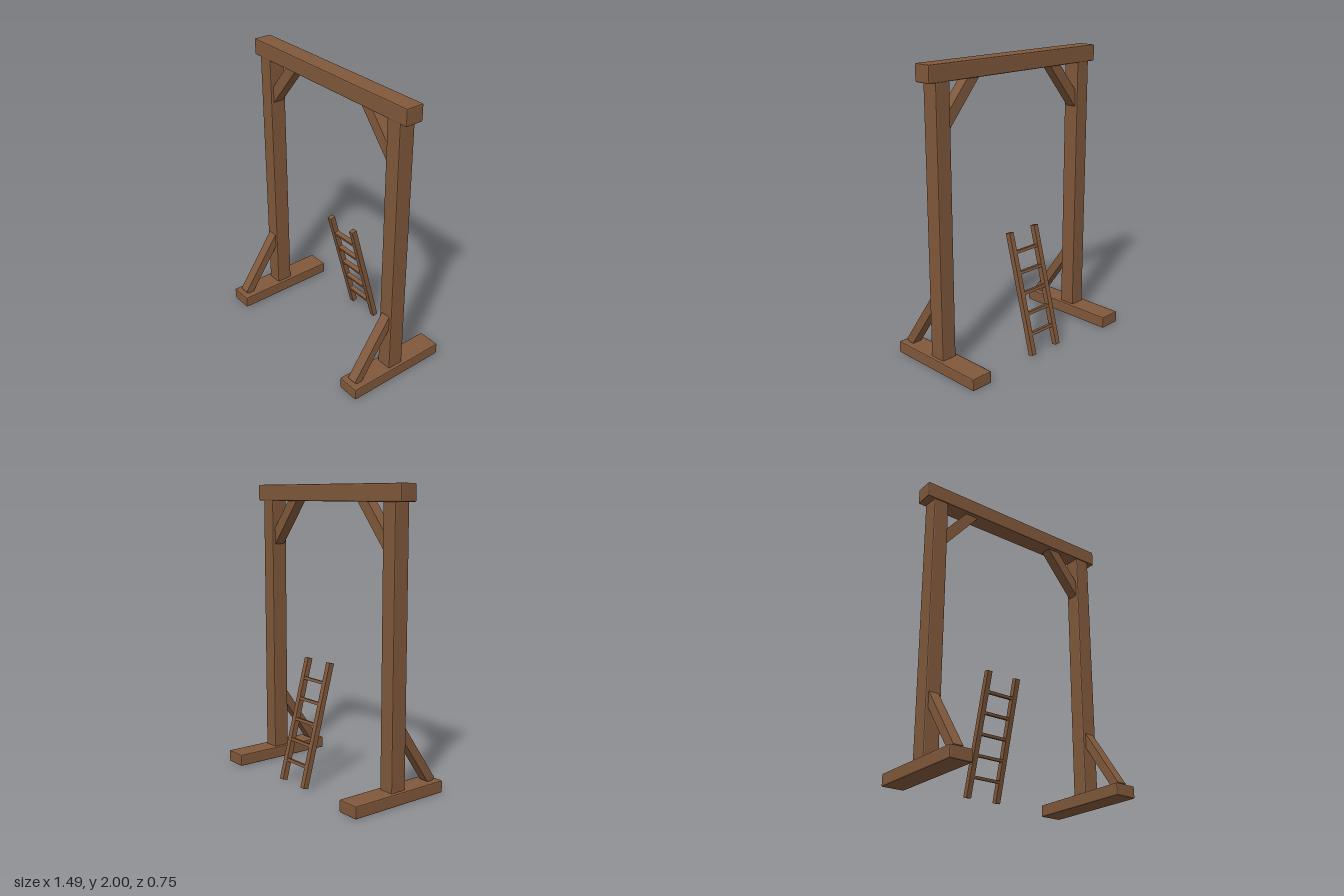
import * as THREE from 'three';
import { RoundedBoxGeometry } from 'three/addons/geometries/RoundedBoxGeometry.js';

export function createModel() {
  const model = new THREE.Group();
  model.name = 'timberFrame';

  const wood = new THREE.MeshStandardMaterial({ color: 0x80583b });
  wood.name = 'brownWood';

  const add = (parent, name, geometry, x, y, z) => {
    const mesh = new THREE.Mesh(geometry, wood);
    mesh.name = name;
    mesh.position.set(x, y, z);
    parent.add(mesh);
    return mesh;
  };

  // Heavy timber with small flat chamfers along its edges
  const timber = (w, h, d, chamfer = 0.008) => {
    const geometry = new RoundedBoxGeometry(w, h, d, 1, chamfer);
    geometry.computeVertexNormals();
    return geometry;
  };

  // Top beam
  add(model, 'topBeam', timber(1.49, 0.112, 0.128), 0, 1.944, 0);

  // Foot, post and braces on each side
  const postX = 0.635;
  for (const [side, s] of [['left', 1], ['right', -1]]) {
    add(model, side + 'Foot', timber(0.158, 0.078, 0.746), s * postX, 0.044, 0);
    add(model, side + 'Post', timber(0.11, 1.83, 0.116), s * postX, 0.985, 0);

    // Diagonal brace from the foot up to the front of the post
    const footBrace = add(model, side + 'FootBrace',
      new THREE.BoxGeometry(0.07, 0.5, 0.06), s * postX, 0.286, 0.173);
    footBrace.rotation.x = -THREE.MathUtils.degToRad(35);

    // Knee brace between the post and the beam
    const kneeBrace = add(model, side + 'KneeBrace',
      new THREE.BoxGeometry(0.075, 0.435, 0.075), s * 0.481, 1.758, 0);
    kneeBrace.rotation.z = s * THREE.MathUtils.degToRad(40);
  }

  // Leaning ladder behind the frame
  const ladder = new THREE.Group();
  ladder.name = 'ladder';
  ladder.position.set(0, 0.423, -0.203);
  ladder.rotation.x = THREE.MathUtils.degToRad(15);
  model.add(ladder);
  for (const s of [-1, 1]) {
    add(ladder, s > 0 ? 'leftRail' : 'rightRail',
      new THREE.BoxGeometry(0.036, 0.848, 0.038), s * 0.117, 0, 0);
  }
  for (let i = -2; i <= 2; i++) {
    add(ladder, 'rung', new THREE.BoxGeometry(0.2, 0.02, 0.034), 0, i * 0.142, 0);
  }

  // Ground the feet exactly on y = 0
  model.children.filter((m) => m.name.endsWith('Foot')).forEach((m) => {
    m.scale.y = 0.083 / 0.078;
    m.position.y = 0.0415;
  });

  return model;
}
